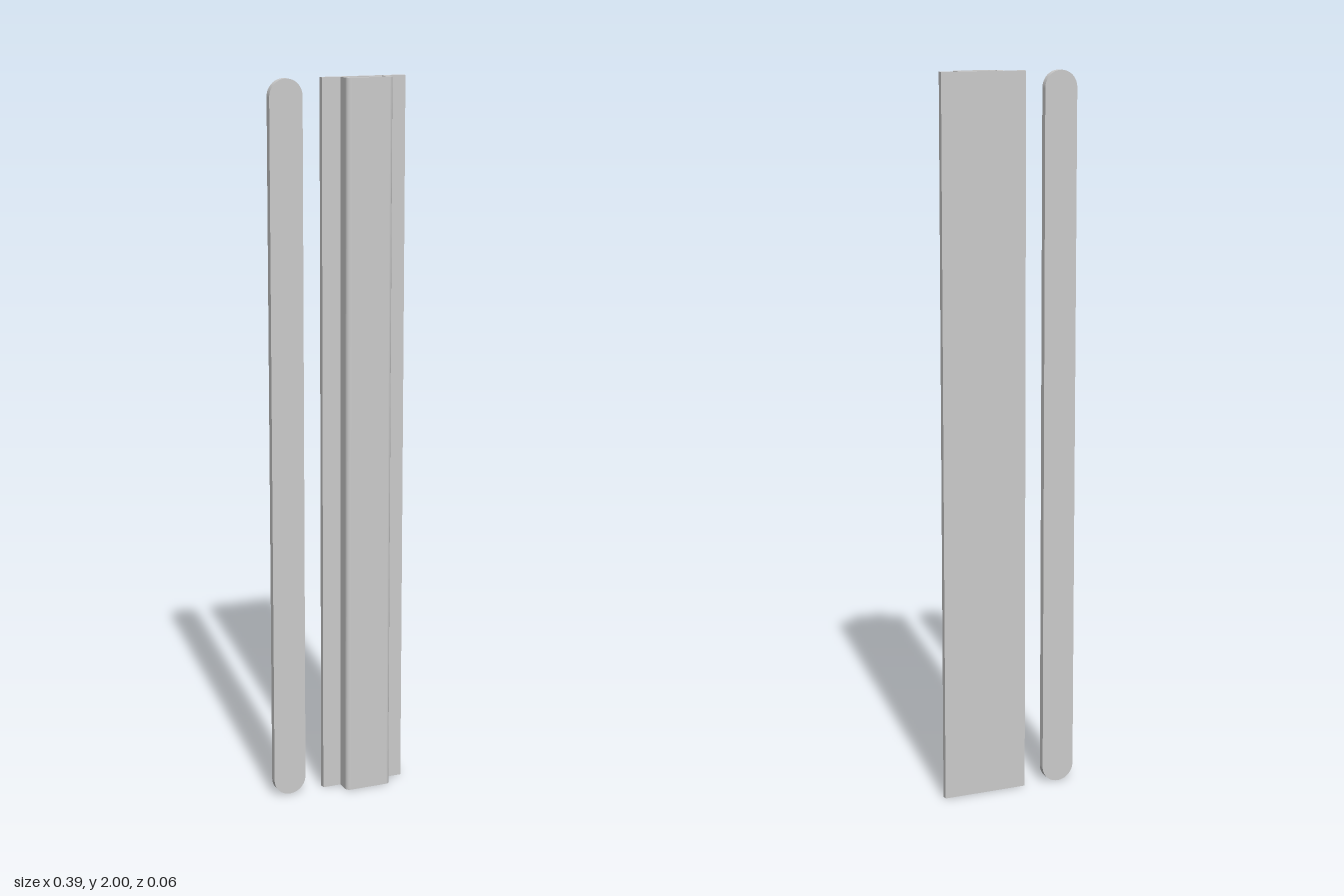
import * as THREE from 'three';

const HEIGHT = 2;
const BACK = -0.0315;

export function createModel() {
  const group = new THREE.Group();
  const material = new THREE.MeshStandardMaterial({ color: 0xcccccc });
  const add = (name, geometry) => {
    const mesh = new THREE.Mesh(geometry, material);
    mesh.name = name;
    group.add(mesh);
    return mesh;
  };

  // Loose strip with round ends
  const r = 0.047, cx = -0.149;
  const strip = new THREE.Shape();
  strip.absarc(cx, HEIGHT - r, r, 0, Math.PI);
  strip.absarc(cx, r, r, Math.PI, Math.PI * 2);
  strip.closePath();
  add('strip', new THREE.ExtrudeGeometry(strip, { depth: 0.019, bevelEnabled: false, curveSegments: 20 }))
    .position.z = BACK;

  // Flat back plate
  const plateDepth = 0.016;
  add('backPlate', new THREE.BoxGeometry(0.242, HEIGHT, plateDepth))
    .position.set(0.075, HEIGHT / 2, BACK + plateDepth / 2);

  // Hollow channel on the plate: U section, rounded outside, square inside (shape y is -z)
  const x0 = 0.007, x1 = 0.141, wall = 0.0145, round = 0.013;
  const rear = -(BACK + plateDepth), front = -0.0315, inner = -0.0145;
  const section = new THREE.Shape();
  section.moveTo(x0, rear);
  section.lineTo(x0, front + round);
  section.absarc(x0 + round, front + round, round, Math.PI, Math.PI * 1.5);
  section.absarc(x1 - round, front + round, round, Math.PI * 1.5, Math.PI * 2);
  section.lineTo(x1, rear);
  section.lineTo(x1 - wall, rear);
  section.lineTo(x1 - wall, inner);
  section.lineTo(x0 + wall, inner);
  section.lineTo(x0 + wall, rear);
  section.closePath();
  const channel = new THREE.ExtrudeGeometry(section, { depth: HEIGHT, bevelEnabled: false, curveSegments: 10 });
  channel.rotateX(-Math.PI / 2);
  add('channel', channel);

  return group;
}
